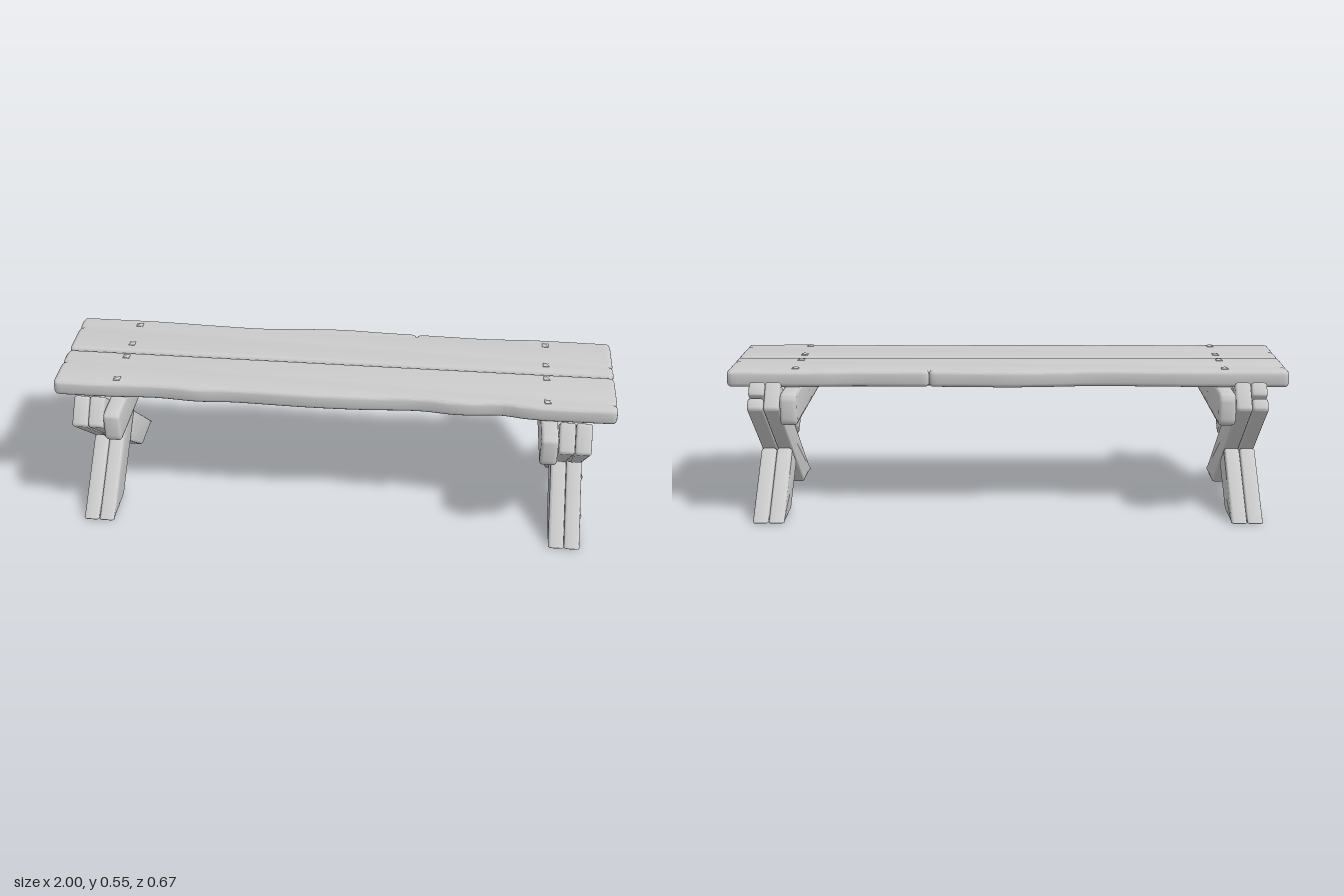
import * as THREE from 'three';
import { toCreasedNormals } from 'three/addons/utils/BufferGeometryUtils.js';

const wood = new THREE.MeshStandardMaterial({ color: 0xcccccc });
const iron = new THREE.MeshStandardMaterial({ color: 0xcccccc, flatShading: true });

// Closed outline with softened corners
function roundedOutline(points, radius) {
  const pts = points.map(([x, y]) => new THREE.Vector2(x, y));
  const shape = new THREE.Shape();
  const n = pts.length;
  pts.forEach((p, i) => {
    const towards = (q) => {
      const d = p.distanceTo(q);
      return p.clone().lerp(q, Math.min(radius, 0.4 * d) / d);
    };
    const a = towards(pts[(i + n - 1) % n]);
    const b = towards(pts[(i + 1) % n]);
    if (i === 0) shape.moveTo(a.x, a.y);
    else shape.lineTo(a.x, a.y);
    shape.quadraticCurveTo(p.x, p.y, b.x, b.y);
  });
  shape.closePath();
  return shape;
}

// Plank of a given thickness with rounded edges, lying from z = 0 upwards
function plankGeometry(points, thickness, radius, bevel) {
  const geo = new THREE.ExtrudeGeometry(roundedOutline(points, radius), {
    depth: thickness - 2 * bevel,
    bevelThickness: bevel,
    bevelSize: bevel,
    bevelOffset: -bevel,
    bevelSegments: 3,
    curveSegments: 3,
  });
  geo.translate(0, 0, bevel);
  return geo;
}

function addMesh(parent, name, geo, material = wood) {
  const mesh = new THREE.Mesh(geo, material);
  mesh.name = name;
  parent.add(mesh);
  return mesh;
}

// Upright plank: outline in (-z, y), spanning x0 to x0 + thickness
function addUpright(parent, name, points, x0, thickness, radius = 0.012, bevel = 0.009) {
  const geo = plankGeometry(points, thickness, radius, bevel);
  geo.rotateY(Math.PI / 2).translate(x0, 0, 0);
  return addMesh(parent, name, toCreasedNormals(geo, 0.7));
}

// Square nail head with a pyramid top, pointing up
function nailGeometry() {
  const profile = [[0.0165, -0.004], [0.0165, 0.003], [0.0145, 0.004], [0, 0.009]];
  return new THREE.LatheGeometry(profile.map(([r, y]) => new THREE.Vector2(r, y)), 4)
    .rotateY(Math.PI / 4);
}

// Seat plank: straight inner edge, worn outer edge, nicks at both ends
function addSeatPlank(parent, name, dir, outer, nicks) {
  const curve = new THREE.SplineCurve(outer.map(([x, z]) => new THREE.Vector2(x, z)));
  const edge = curve.getPoints(36).map((p) => [p.x, p.y]);
  if (nicks.edge !== undefined) {
    const i = edge.findIndex((p) => p[0] > nicks.edge);
    const z = edge[i][1];
    const kept = edge.filter((p) => Math.abs(p[0] - nicks.edge) > 0.03);
    const at = kept.findIndex((p) => p[0] > nicks.edge);
    kept.splice(at, 0, [nicks.edge - 0.005, z], [nicks.edge, z - 0.018], [nicks.edge + 0.005, z]);
    edge.splice(0, edge.length, ...kept);
  }
  const endNick = (x, z, order) => [
    [x, z + 0.005 * order], [x - 0.014 * Math.sign(x), z], [x, z - 0.005 * order],
  ];
  const outline = [
    [-1, 0.004], ...endNick(-1, nicks.left, -1),
    ...edge,
    ...endNick(1, nicks.right, 1), [1, 0.004],
  ].map(([x, z]) => [x, -dir * z]);
  const geo = plankGeometry(outline, 0.06, 0.022, 0.015);
  geo.rotateX(-Math.PI / 2).translate(0, 0.48, 0);
  addMesh(parent, name, toCreasedNormals(geo, 0.7));
}

export function createModel() {
  const bench = new THREE.Group();
  bench.name = 'bench';

  // Seat
  addSeatPlank(bench, 'frontSeatPlank', 1, [
    [-1, 0.228], [-0.82, 0.228], [-0.63, 0.219], [-0.48, 0.229], [-0.35, 0.221], [-0.1, 0.227],
    [0.1, 0.224], [0.3, 0.211], [0.42, 0.222], [0.5, 0.221], [0.6, 0.211], [0.72, 0.228], [1, 0.226],
  ], { left: 0.09, right: 0.18 });
  addSeatPlank(bench, 'backSeatPlank', -1, [
    [-1, 0.236], [-0.7, 0.236], [-0.5, 0.228], [-0.3, 0.223], [-0.15, 0.236], [0, 0.244],
    [0.15, 0.238], [0.35, 0.233], [0.55, 0.229], [0.7, 0.238], [1, 0.236],
  ], { left: 0.16, right: 0.07, edge: 0.28 });

  // Leg outlines in (-z, y)
  const longLeg = [[-0.337, 0.002], [-0.165, 0.002], [0.335, 0.424], [0.265, 0.51]];
  const splitLongLeg = [
    ...longLeg.slice(0, 3), [0.306, 0.46], [0.262, 0.434], [0.3, 0.468], longLeg[3],
  ];
  const upperBrace = [[-0.265, 0.51], [-0.335, 0.424], [-0.091, 0.217], [0.003, 0.295]];
  const lowerBrace = [[0.091, 0.217], [-0.003, 0.136], [0.165, 0.002], [0.337, 0.002]];
  const crossbar = [
    [-0.334, 0.38], [-0.322, 0.364], [0.322, 0.364], [0.334, 0.38],
    [0.334, 0.455], [0.32, 0.48], [-0.32, 0.48], [-0.334, 0.465],
  ];
  // Nail positions as [z, y] on the legs
  const legNails = [
    [0.23, 0.417], [0.115, 0.313], [0.083, 0.148], [0.193, 0.051],
    [-0.105, 0.302], [-0.246, 0.425], [-0.088, 0.148], [-0.218, 0.044],
  ];

  // Two crossed trestles, each of doubled planks, with a crossbar inside
  for (const side of [1, -1]) {
    const trestle = new THREE.Group();
    trestle.name = side > 0 ? 'leftTrestle' : 'rightTrestle';
    bench.add(trestle);
    const start = (inner, thickness) => (side > 0 ? inner : -inner - thickness);

    [0.8, 0.857].forEach((inner, layer) => {
      const x0 = start(inner, 0.056);
      addUpright(trestle, 'longLeg', layer ? splitLongLeg : longLeg, x0, 0.056);
      addUpright(trestle, 'upperBrace', upperBrace, x0, 0.056);
      addUpright(trestle, 'lowerBrace', lowerBrace, x0, 0.056);
    });
    addUpright(trestle, 'crossbar', crossbar, start(0.738, 0.06), 0.06, 0.014, 0.012);

    for (const [z, y] of legNails) {
      const nail = addMesh(trestle, 'legNail', nailGeometry(), iron);
      nail.rotation.z = -side * Math.PI / 2;
      nail.position.set(side * 0.913, y, z);
    }
    for (const z of [-0.193, -0.055, 0.037, 0.19]) {
      const nail = addMesh(trestle, 'seatNail', nailGeometry(), iron);
      nail.position.set(side > 0 ? 0.758 : -0.773, 0.539, z);
    }
  }
  return bench;
}
